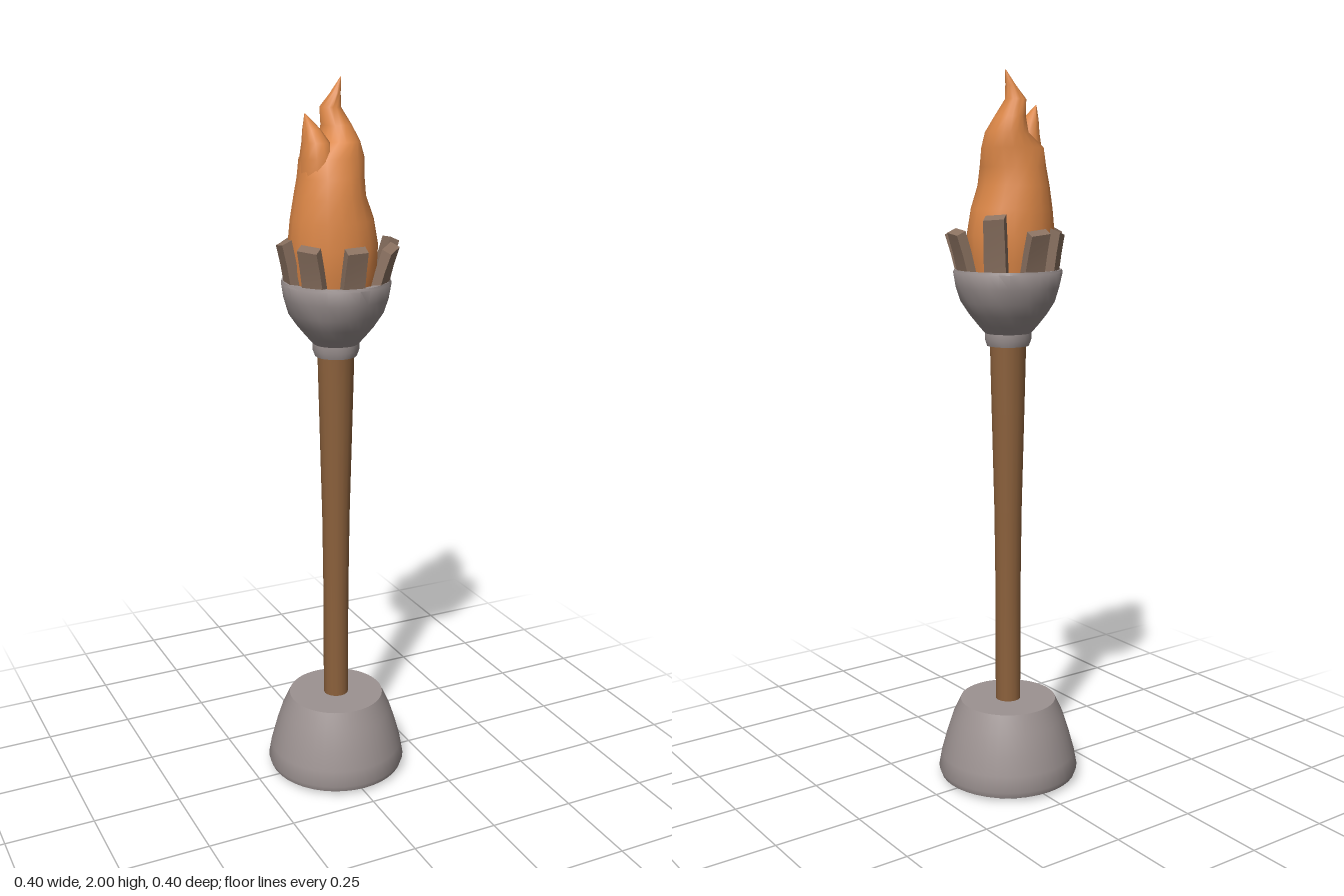
import * as THREE from 'three';
import { toCreasedNormals } from 'three/addons/utils/BufferGeometryUtils.js';

const material = (name, color) => Object.assign(new THREE.MeshStandardMaterial({ color }), { name });

// Revolve a profile of [radius, height] pairs, with optional hand-carved wobble
function turned(profile, segments, wobble = 0) {
  const geo = new THREE.LatheGeometry(profile.map(([r, y]) => new THREE.Vector2(r, y)), segments);
  const p = geo.attributes.position;
  for (let i = 0; i < p.count; i++) {
    const a = Math.atan2(p.getZ(i), p.getX(i)), y = p.getY(i);
    const k = 1 + wobble * (Math.sin(5 * a + y * 30) + 0.6 * Math.sin(8 * a - y * 45));
    p.setXYZ(i, p.getX(i) * k, y, p.getZ(i) * k);
  }
  return toCreasedNormals(geo, 0.65);
}

// Skin elliptical rings [y, centreX, centreZ, radiusX, radiusZ] from bottom to top
function loft(rings, n = 18) {
  const pos = [], index = [];
  rings.forEach(([y, cx, cz, rx, rz], j) => {
    for (let i = 0; i < n; i++) {
      const a = (i / n) * Math.PI * 2;
      pos.push(cx + rx * Math.cos(a), y, cz + rz * Math.sin(a));
      if (j < rings.length - 1) {
        const p = j * n + i, q = j * n + ((i + 1) % n);
        index.push(p, p + n, q, q, p + n, q + n);
      }
    }
  });
  const geo = new THREE.BufferGeometry();
  geo.setAttribute('position', new THREE.Float32BufferAttribute(pos, 3));
  geo.setIndex(index);
  return toCreasedNormals(geo, 0.8);
}

// Flared, slightly bent wooden slat, pointing outward along +z
function slatGeometry(height, lean, skew) {
  const geo = new THREE.BoxGeometry(1, 1, 1, 1, 3, 1);
  const p = geo.attributes.position;
  for (let i = 0; i < p.count; i++) {
    const t = p.getY(i) + 0.5, x = p.getX(i), z = p.getZ(i);
    p.setXYZ(i,
      x * (0.062 - 0.006 * t) + skew * t,
      1.42 + height * t + x * skew * t - z * 0.012 * t,
      0.118 + lean * t * (0.6 + 0.4 * t) + z * 0.026);
  }
  return toCreasedNormals(geo, 0.6);
}

export function createModel() {
  const stone = material('stone grey', 0x9c9291);
  const wood = material('pole brown', 0x8c613c);
  const slatWood = material('slat brown', 0x8a7160);
  const fire = material('flame orange', 0xdc8747);

  const model = new THREE.Group();
  model.name = 'torch';
  const add = (name, geo, mat, parent = model) => {
    const mesh = new THREE.Mesh(geo, mat);
    mesh.name = name;
    parent.add(mesh);
    return mesh;
  };

  // Rounded stone foot
  add('base', turned([[0, 0.005], [0.17, 0.005], [0.195, 0.018], [0.201, 0.035], [0.193, 0.08],
    [0.178, 0.135], [0.16, 0.19], [0.137, 0.24], [0, 0.24]], 40), stone);

  // Pole widening toward the bowl
  add('pole', turned([[0.036, 0.23], [0.036, 0.55], [0.039, 0.8], [0.046, 1.08], [0.051, 1.29]], 16), wood);

  // Carved bowl with collar and hollow top
  add('bowl', turned([[0, 1.268], [0.058, 1.268], [0.064, 1.285], [0.064, 1.303], [0.083, 1.325], [0.107, 1.355],
    [0.13, 1.39], [0.142, 1.43], [0.149, 1.47], [0.146, 1.477], [0.125, 1.475], [0.114, 1.445], [0, 1.43]],
  32, 0.008), stone);

  // Ring of eight uneven slats
  const slats = new THREE.Group();
  slats.name = 'slats';
  model.add(slats);
  const variants = [[0.158, 0.032, 0.003], [0.15, 0.036, 0.012], [0.16, 0.037, -0.006], [0.2, 0.03, 0.004],
    [0.16, 0.034, 0.006], [0.16, 0.022, -0.008], [0.165, 0.03, 0.008], [0.16, 0.034, -0.005]];
  variants.forEach(([height, lean, skew], i) => {
    add('slat' + (i + 1), slatGeometry(height, lean, skew), slatWood, slats)
      .rotation.y = i * Math.PI / 4 - 0.1;
  });

  // Flame body rising into the tall tongue, with a smaller tongue beside it
  const flame = new THREE.Group();
  flame.name = 'flame';
  model.add(flame);
  add('flameBody', loft([[1.43, -0.006, 0, 0.105, 0.1], [1.5, -0.008, 0, 0.118, 0.112],
    [1.57, -0.009, 0, 0.122, 0.116], [1.64, -0.012, 0, 0.112, 0.109], [1.7, -0.018, 0, 0.095, 0.102],
    [1.75, -0.014, -0.003, 0.089, 0.091], [1.8, -0.009, -0.008, 0.088, 0.077], [1.84, 0.016, -0.016, 0.054, 0.065],
    [1.88, 0.013, -0.027, 0.04, 0.046], [1.925, -0.001, -0.033, 0.028, 0.029],
    [1.96, 0.012, -0.029, 0.014, 0.015], [2, 0.025, -0.024, 0.001, 0.001]]), fire, flame);
  add('flameTongue', loft([[1.75, -0.055, 0, 0.046, 0.06], [1.8, -0.056, 0.002, 0.043, 0.056],
    [1.84, -0.058, 0, 0.035, 0.045], [1.872, -0.066, -0.008, 0.023, 0.028],
    [1.912, -0.08, -0.018, 0.001, 0.001]], 12), fire, flame);

  return model;
}
